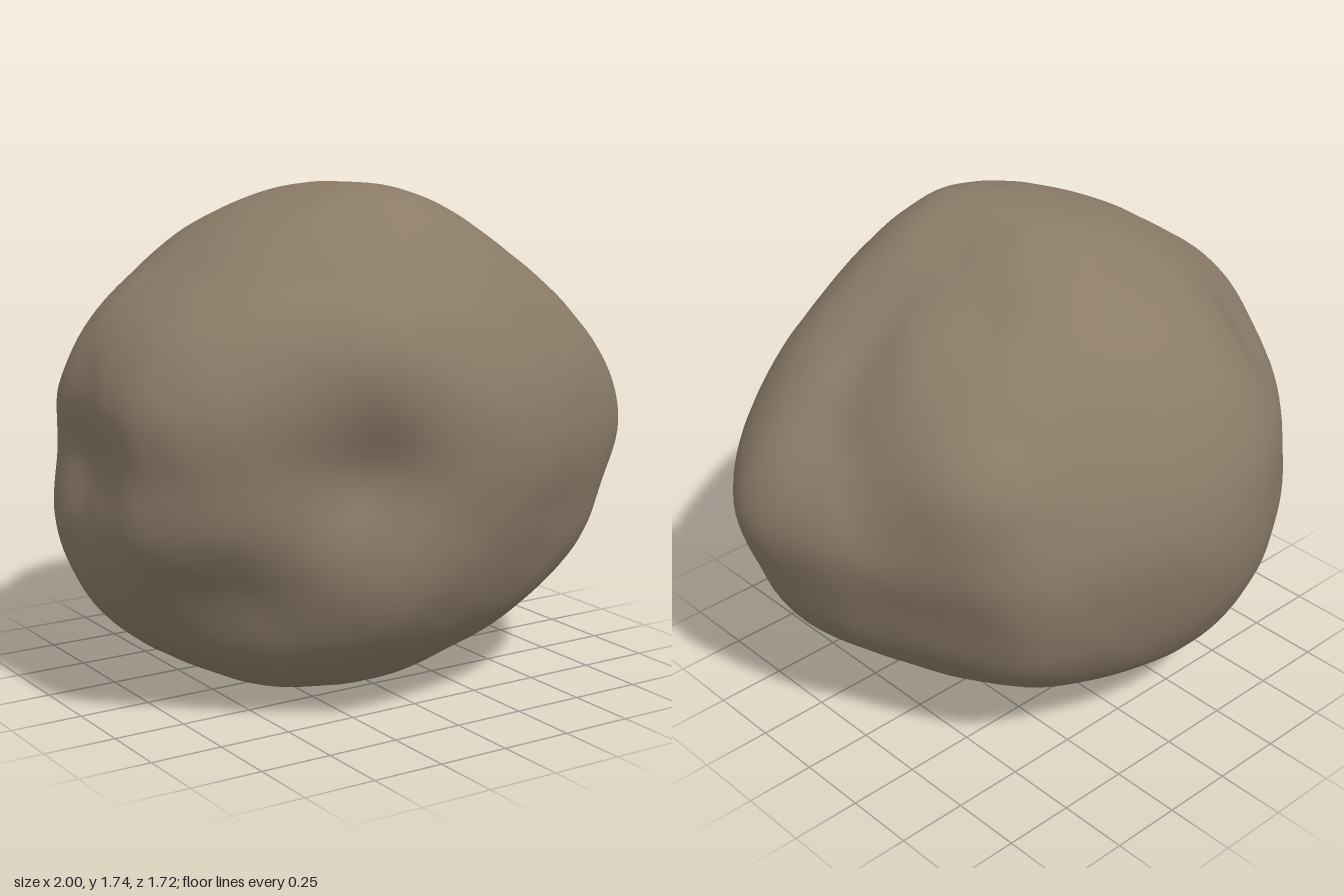
import * as THREE from 'three';

const V = (x, y, z) => new THREE.Vector3(x, y, z);
const RINGS = 90, SIDES = 144, MID = 0.87;

// Extents of the boulder at 13 heights from base to crown: [left x, right x, front z, back z]
const LEVELS = [
  [-0.08, -0.08, 0.14, 0.14], [-0.35, 0.17, 0.28, -0.08], [-0.60, 0.38, 0.47, -0.40],
  [-0.81, 0.63, 0.62, -0.63], [-0.94, 0.84, 0.73, -0.76], [-1.0, 0.94, 0.815, -0.835],
  [-0.985, 1.0, 0.86, -0.86], [-0.995, 0.93, 0.855, -0.82], [-0.90, 0.77, 0.785, -0.71],
  [-0.69, 0.58, 0.665, -0.55], [-0.48, 0.37, 0.54, -0.33], [-0.24, 0.14, 0.41, -0.10],
  [-0.05, -0.05, 0.20, 0.20],
];

// Plan outline, starting at the back and running round by +x
const OUTLINE = [
  [-0.1, -0.86], [0.15, -0.81], [0.4, -0.71], [0.58, -0.6], [0.7, -0.44], [0.85, -0.17],
  [0.94, 0], [1, 0.22], [0.96, 0.38], [0.8, 0.56], [0.5, 0.73], [0.2, 0.85], [-0.15, 0.85],
  [-0.4, 0.76], [-0.8, 0.59], [-0.97, 0.4], [-1, 0.2], [-0.99, 0.02], [-0.99, -0.15],
  [-0.93, -0.3], [-0.8, -0.5], [-0.6, -0.68], [-0.35, -0.82],
];

// Hollows (positive depth) and swells (negative): x, y, z, radius, depth
const DENTS = [
  // front hollow, the brow above, the swell and the cut below
  [-0.36, 0.86, 0.76, 0.27, 0.11], [-0.3, 1.2, 0.7, 0.2, -0.02],
  [-0.22, 0.48, 0.72, 0.22, -0.035], [-0.78, 0.4, 0.47, 0.3, 0.095],
  // valley from the crown down to the +x tip, with the lobe behind it
  [0.16, 1.62, 0.12, 0.15, 0.03], [0.36, 1.51, 0.17, 0.18, 0.07],
  [0.54, 1.36, 0.14, 0.18, 0.07], [0.74, 1.16, 0.07, 0.17, 0.055],
  [0.32, 1.55, -0.12, 0.17, 0.045], [0.64, 1.18, -0.42, 0.22, -0.06],
  // groove across the -x side
  [-0.66, 1.25, -0.43, 0.24, 0.075], [-0.8, 1.12, -0.2, 0.17, 0.03],
  [-0.95, 0.85, 0.05, 0.17, 0.02],
  // edge low on the front, fuller flank low on the back
  [0.6, 0.5, 0.55, 0.22, -0.03], [0.32, 0.3, 0.58, 0.2, -0.025],
  [0.55, 0.5, -0.6, 0.28, -0.03],
];

// Gentle surface unevenness
function ripple(p) {
  let sum = 0;
  for (let k = 0; k < 4; k++) {
    const f = 6 * 1.6 ** k;
    sum += Math.sin(f * p.x + 2.1 * k + 1.5 * Math.sin(f * 0.7 * p.z))
      * Math.sin(f * p.y + 1.3 * k) * Math.cos(f * p.z + 0.7 * k) / 1.5 ** k;
  }
  return 0.004 * sum;
}

function boulderGeometry() {
  const xs = new THREE.CatmullRomCurve3(LEVELS.map(l => V(l[0], l[1], 0)), false, 'catmullrom');
  const zs = new THREE.CatmullRomCurve3(LEVELS.map(l => V(l[2], l[3], 0)), false, 'catmullrom');
  const plan = new THREE.CatmullRomCurve3(OUTLINE.map(([x, z]) => V(x, 0, z)), true, 'catmullrom');
  const centre = V(0, MID, 0);

  function surfacePoint(i, j) {
    const t = i / RINGS, x = xs.getPoint(t), z = zs.getPoint(t);
    const o = plan.getPoint(j / SIDES);
    // Sections grow rounder toward the crown and the base
    const a = Math.atan2(o.z / 0.86, o.x);
    const round = t > 0.5 ? 0.8 * THREE.MathUtils.smoothstep(t, 0.5, 0.8)
      : 0.6 * THREE.MathUtils.smoothstep(0.5 - t, 0.1, 0.4);
    const u = THREE.MathUtils.lerp(o.x, Math.cos(a), round);
    const w = THREE.MathUtils.lerp(o.z / 0.86, Math.sin(a), round);
    const p = V(
      THREE.MathUtils.lerp(x.x, x.y, (u + 1) / 2),
      MID * (1 - Math.cos(Math.PI * t)),
      THREE.MathUtils.lerp(z.y, z.x, (w + 1) / 2));
    let push = ripple(p);
    for (const [dx, dy, dz, r, depth] of DENTS) {
      push -= depth * Math.exp(-p.distanceToSquared(V(dx, dy, dz)) / (r * r));
    }
    return p.addScaledVector(p.clone().sub(centre).normalize(), push);
  }

  // Base pole, rings, crown pole
  const points = [surfacePoint(0, 0)];
  for (let i = 1; i < RINGS; i++) {
    for (let j = 0; j < SIDES; j++) points.push(surfacePoint(i, j));
  }
  points.push(surfacePoint(RINGS, 0));

  const id = (i, j) => i === 0 ? 0 : i === RINGS ? points.length - 1
    : 1 + (i - 1) * SIDES + j % SIDES;
  const index = [];
  for (let i = 0; i < RINGS; i++) {
    for (let j = 0; j < SIDES; j++) {
      const a = id(i, j), b = id(i, j + 1), c = id(i + 1, j), d = id(i + 1, j + 1);
      if (i < RINGS - 1) index.push(a, c, d);
      if (i > 0) index.push(a, d, b);
    }
  }

  const geometry = new THREE.BufferGeometry().setFromPoints(points);
  geometry.setIndex(index);

  // Settle on the ground, centred
  geometry.computeBoundingBox();
  const box = geometry.boundingBox, mid = box.getCenter(V());
  geometry.translate(-mid.x, -box.min.y, -mid.z);
  geometry.computeVertexNormals();
  return geometry;
}

export function createModel() {
  const stone = new THREE.MeshStandardMaterial({ color: 0x8b7b68 });
  stone.name = 'brown stone';
  const boulder = new THREE.Mesh(boulderGeometry(), stone);
  boulder.name = 'boulder';
  const group = new THREE.Group();
  group.name = 'rock';
  group.add(boulder);
  return group;
}
